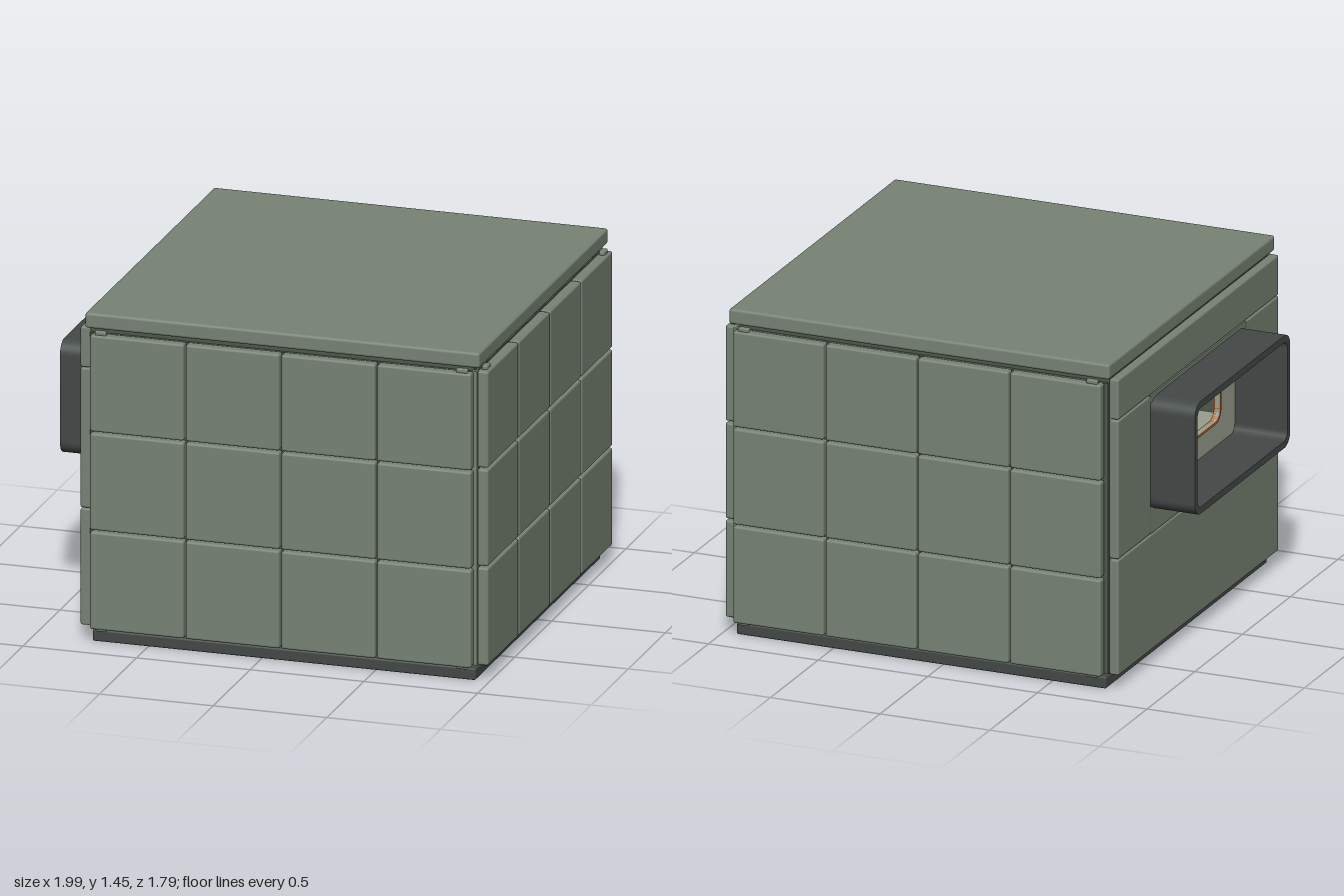
import * as THREE from 'three';
import { RoundedBoxGeometry } from 'three/addons/geometries/RoundedBoxGeometry.js';

const mat = (color) => new THREE.MeshStandardMaterial({ color });

// rounded rectangle outline centred on (0, cy)
function roundRect(P, w, h, r, cy) {
  const p = new P(), x = w / 2, b = cy - h / 2, t = cy + h / 2;
  p.moveTo(-x + r, b);
  p.lineTo(x - r, b);
  p.absarc(x - r, b + r, r, -Math.PI / 2, 0);
  p.lineTo(x, t - r);
  p.absarc(x - r, t - r, r, 0, Math.PI / 2);
  p.lineTo(-x + r, t);
  p.absarc(-x + r, t - r, r, Math.PI / 2, Math.PI);
  p.lineTo(-x, b + r);
  p.absarc(-x + r, b + r, r, Math.PI, Math.PI * 1.5);
  return p;
}

export function createModel() {
  const group = new THREE.Group();
  const green = mat(0x778374), dark = mat(0x434948), pale = mat(0x99a08e);
  const copper = mat(0xb06a3a), inner = mat(0x4f584d);

  // box given by its min and max corners; r > 0 softens the edges
  function box(name, m, x0, x1, y0, y1, z0, z1, r = 0, parent = group) {
    const s = [x1 - x0, y1 - y0, z1 - z0];
    const g = r ? new RoundedBoxGeometry(...s, 2, r) : new THREE.BoxGeometry(...s);
    const mesh = new THREE.Mesh(g, m);
    mesh.position.set((x0 + x1) / 2, (y0 + y1) / 2, (z0 + z1) / 2);
    mesh.name = name;
    parent.add(mesh);
    return mesh;
  }

  // rounded frame in the zy plane, extruded from x towards -x
  function frame(name, m, x, depth, w, h, r, hw, hh, hr, cy) {
    const shape = roundRect(THREE.Shape, w, h, r, cy);
    shape.holes.push(roundRect(THREE.Path, hw, hh, hr, cy));
    const g = new THREE.ExtrudeGeometry(shape, { depth, bevelEnabled: false, curveSegments: 8 });
    g.rotateY(-Math.PI / 2);
    const mesh = new THREE.Mesh(g, m);
    mesh.position.x = x;
    mesh.name = name;
    group.add(mesh);
  }

  // base and roof
  box('base', dark, -0.745, 0.94, 0, 0.052, -0.845, 0.845, 0.008);
  box('roof', green, -0.77, 0.965, 1.385, 1.453, -0.87, 0.87, 0.012);
  box('ceiling', inner, -0.755, 0.93, 1.355, 1.386, -0.83, 0.83);
  box('floor', inner, -0.755, 0.93, 0.064, 0.09, -0.83, 0.83);

  // copper contact strips between base and body
  box('contactPlate', copper, -0.66, 0.86, 0.05, 0.066, -0.76, 0.76);
  for (const s of [-1, 1]) {
    for (let i = 0; i < 36; i++) {
      const t = i / 35;
      const x = -0.66 + t * 1.5, z = -0.76 + t * 1.5;
      box('contact', copper, x, x + 0.02, 0.052, 0.068, s * 0.80 - 0.01, s * 0.80 + 0.01);
      if (s > 0) box('contact', copper, 0.88, 0.90, 0.052, 0.068, z, z + 0.02);
    }
  }

  // inner walls behind the cladding
  for (const s of [-1, 1]) {
    box('innerWall', inner, -0.755, 0.93, 0.07, 1.36, s * 0.835 - 0.01, s * 0.835 + 0.01);
  }
  box('innerWallLeft', inner, 0.92, 0.94, 0.07, 1.36, -0.83, 0.83);

  // 4 x 3 cladding tiles on the front, back and left walls
  const rows = [[0.068, 0.498], [0.506, 0.932], [0.94, 1.365]];
  for (const [y0, y1] of rows) {
    for (let c = 0; c < 4; c++) {
      const x = -0.745 + c * 0.421, z = -0.845 + c * 0.4225;
      for (const s of [-1, 1]) {
        box('tile', green, x + 0.004, x + 0.417, y0, y1, s * 0.872 - 0.024, s * 0.872 + 0.024, 0.01);
      }
      box('tileLeft', green, 0.945, 0.994, y0, y1, z + 0.004, z + 0.4185, 0.01);
    }
  }

  // small clips at the tile corners, above and below
  for (const y of [0.058, 1.362]) {
    for (const s of [-1, 1]) {
      for (const x of [-0.697, 0.892]) {
        box('clip', green, x - 0.025, x + 0.025, y, y + 0.02, s * 0.875 - 0.012, s * 0.875 + 0.012, 0.006);
      }
      box('clip', green, 0.957, 0.982, y, y + 0.02, s * 0.79 - 0.025, s * 0.79 + 0.025, 0.006);
    }
  }

  // corner posts on the left wall
  for (const s of [-1, 1]) {
    box('cornerPost', green, 0.925, 0.95, 0.07, 1.365, s * 0.84 - 0.012, s * 0.84 + 0.012);
  }

  // right wall panels around the window tunnel
  box('lowerPanel', green, -0.8, -0.757, 0.065, 0.578, -0.84, 0.84, 0.008);
  box('upperPanel', green, -0.8, -0.757, 1.202, 1.38, -0.84, 0.84, 0.008);
  for (const s of [-1, 1]) {
    box('sidePanel', green, -0.8, -0.757, 0.582, 1.198, s * 0.67 - 0.17, s * 0.67 + 0.17, 0.008);
  }
  box('panelBelowTunnel', green, -0.798, -0.757, 0.582, 0.70, -0.498, 0.498);
  box('panelAboveTunnel', green, -0.798, -0.757, 1.165, 1.198, -0.498, 0.498);

  // window tunnel, back plate with opening, and its trim
  frame('windowTunnel', dark, -0.755, 0.245, 1, 0.5, 0.06, 0.94, 0.44, 0.035, 0.932);
  frame('windowPlate', pale, -0.74, 0.02, 0.98, 0.48, 0.05, 0.62, 0.22, 0.05, 0.932);
  frame('windowTrim', copper, -0.735, 0.03, 0.64, 0.24, 0.06, 0.62, 0.22, 0.05, 0.932);

  // equipment seen through the window
  box('shelf', pale, -0.73, -0.2, 0.78, 0.81, -0.4, 0.4);
  box('cabinet', dark, -0.3, 0.1, 0.81, 1.15, -0.4, 0.4, 0.02);
  for (const z of [-0.15, 0.1]) {
    box('module', pale, -0.55, -0.4, 0.81, 0.88, z - 0.07, z + 0.07, 0.01);
  }

  return group;
}
